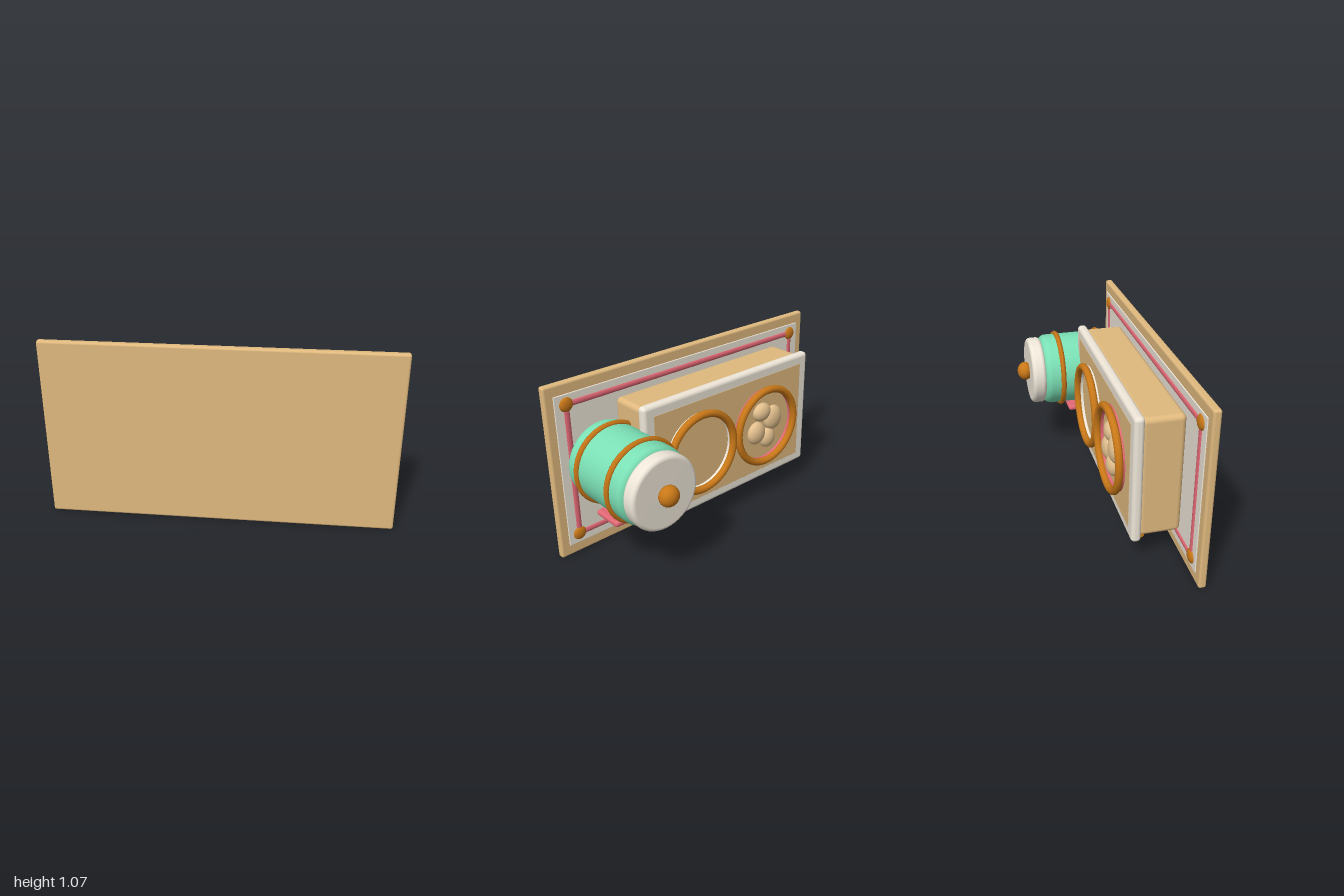
import * as THREE from 'three';
import { RoundedBoxGeometry } from 'three/addons/geometries/RoundedBoxGeometry.js';

const paint = (color, side = THREE.FrontSide) => new THREE.MeshStandardMaterial({ color, side });
const WOOD = paint(0xe0b97e), CREAM = paint(0xeee6d8), MINT = paint(0x7be0b5),
  ORANGE = paint(0xc97818), PINK = paint(0xe26875), KIBBLE = paint(0xe3c08e),
  PINK_WALL = paint(0xe26875, THREE.DoubleSide), CREAM_WALL = paint(0xeee6d8, THREE.DoubleSide);

export function createModel() {
  const model = new THREE.Group();

  const add = (name, geometry, material, x, y, z) => {
    const mesh = new THREE.Mesh(geometry, material);
    mesh.name = name;
    mesh.position.set(x, y, z);
    model.add(mesh);
    return mesh;
  };
  // Rounded box given by its limits on each axis
  const box = (name, material, [x0, x1], [y0, y1], [z0, z1], r) =>
    add(name, new RoundedBoxGeometry(x1 - x0, y1 - y0, z1 - z0, 4, r), material,
      (x0 + x1) / 2, (y0 + y1) / 2, (z0 + z1) / 2);
  const blob = (name, material, x, y, z, rx, ry, rz) =>
    add(name, new THREE.SphereGeometry(1, 24, 16), material, x, y, z).scale.set(rx, ry, rz);
  // Cylinder with rounded rims, axis along z, from zFront back to zBack
  const drum = (name, material, x, y, zFront, zBack, radius, r) => {
    const h = zFront - zBack, pts = [new THREE.Vector2(0, 0)];
    for (const [cy, start] of [[r, -Math.PI / 2], [h - r, 0]])
      for (let i = 0; i <= 6; i++) {
        const a = start + (i / 6) * Math.PI / 2;
        pts.push(new THREE.Vector2(radius - r + r * Math.cos(a), cy + r * Math.sin(a)));
      }
    pts.push(new THREE.Vector2(0, h));
    add(name, new THREE.LatheGeometry(pts, 48).rotateX(-Math.PI / 2), material, x, y, zFront);
  };

  // Mat with inset panel and piped border
  box('mat', WOOD, [-1, 1], [0, 1.067], [0.32, 0.365], 0.014);
  box('matPanel', CREAM, [-0.945, 0.945], [0.065, 1.002], [0.315, 0.335], 0.004);
  const bx = 0.873, yLow = 0.128, yHigh = 0.942;
  for (const y of [yLow, yHigh])
    add('borderRail', new THREE.CylinderGeometry(0.018, 0.018, 2 * bx, 16).rotateZ(Math.PI / 2), PINK, 0, y, 0.318).scale.z = 0.6;
  for (const s of [-1, 1]) {
    add('borderPost', new THREE.CylinderGeometry(0.018, 0.018, yHigh - yLow, 16), PINK, s * bx, (yLow + yHigh) / 2, 0.318).scale.z = 0.6;
    for (const y of [yLow, yHigh]) blob('cornerStud', ORANGE, s * bx, y, 0.316, 0.042, 0.042, 0.019);
  }

  // Feeding stand
  box('standBody', WOOD, [-0.71, 0.565], [0.173, 0.898], [0.07, 0.312], 0.03);
  box('standTop', CREAM, [-0.733, 0.583], [0.152, 0.92], [0.025, 0.083], 0.024);
  box('standInlay', WOOD, [-0.665, 0.515], [0.215, 0.855], [0.0235, 0.04], 0.001);
  add('standRod', new THREE.CylinderGeometry(0.019, 0.019, 1.2, 16).rotateZ(Math.PI / 2), ORANGE, -0.073, 0.157, 0.097);

  // Two bowls: wall and rolled rim
  const by = 0.533;
  for (const [x, wall] of [[-0.34, PINK_WALL], [0.193, CREAM_WALL]]) {
    add('bowlRim', new THREE.TorusGeometry(0.243, 0.023, 12, 56), ORANGE, x, by, -0.008);
    add('bowlWall', new THREE.CylinderGeometry(0.226, 0.226, 0.04, 56, 1, true).rotateX(Math.PI / 2), wall, x, by, 0.01);
    add('bowlOuterWall', new THREE.CylinderGeometry(0.25, 0.25, 0.04, 56, 1, true).rotateX(Math.PI / 2), wall, x, by, 0.012);
  }
  for (const [dx, dy, rx, ry] of [[0.025, 0.095, 0.07, 0.06], [0.07, -0.037, 0.07, 0.075],
    [-0.072, 0.03, 0.074, 0.082], [-0.027, -0.095, 0.06, 0.068]])
    blob('kibble', KIBBLE, -0.34 + dx, by + dy, 0.018, rx, ry, 0.043);

  // Name plate with paw, under the stand
  box('standPlate', MINT, [-0.288, 0.142], [0.139, 0.174], [0.13, 0.262], 0.015);
  blob('pawPad', ORANGE, -0.073, 0.136, 0.212, 0.048, 0.016, 0.038);
  for (const [dx, z] of [[-0.06, 0.172], [-0.022, 0.14], [0.022, 0.14], [0.06, 0.172]])
    blob('pawToe', ORANGE, -0.073 + dx, 0.134, z, 0.021, 0.014, 0.02);

  // Storage jar lying along z
  const jx = 0.695, jy = 0.58;
  drum('jarBody', MINT, jx, jy, 0.298, -0.207, 0.23, 0.045);
  for (const z of [0.187, -0.093])
    add('jarBand', new THREE.TorusGeometry(0.232, 0.018, 6, 48), ORANGE, jx, jy, z);
  drum('jarLid', CREAM, jx, jy, -0.2, -0.289, 0.217, 0.025);
  blob('jarKnob', ORANGE, jx, jy, -0.313, 0.06, 0.06, 0.05);
  box('jarLabel', PINK, [jx - 0.16, jx + 0.16], [0.323, 0.357], [-0.048, 0.142], 0.015);

  return model;
}
